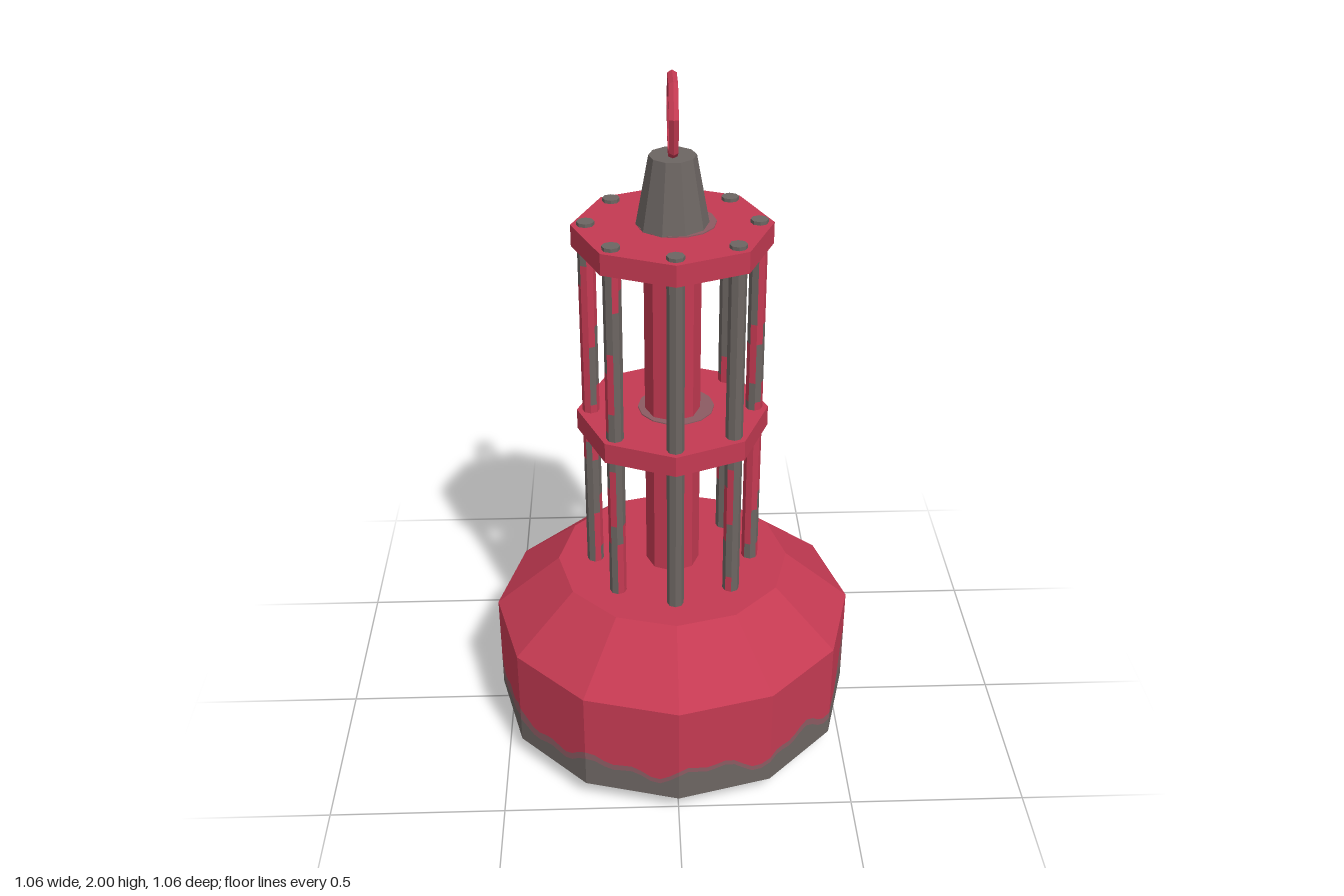
import * as THREE from 'three';

const red = new THREE.MeshStandardMaterial({ color: 0xc43a52 });
red.name = 'redPaint';
const grey = new THREE.MeshStandardMaterial({ color: 0x6c6562 });
grey.name = 'bareMetal';
const faded = new THREE.MeshStandardMaterial({ color: 0x8c5b62 });
faded.name = 'fadedPaint';

// Give every face its own flat normal.
function flat(geometry) {
  const g = geometry.index ? geometry.toNonIndexed() : geometry;
  g.computeVertexNormals();
  return g;
}

function add(parent, name, geometry, material, x = 0, y = 0, z = 0) {
  const mesh = new THREE.Mesh(flat(geometry), material);
  mesh.name = name;
  mesh.position.set(x, y, z);
  parent.add(mesh);
  return mesh;
}

// Upright prism or cone frustum spanning y0 to y1.
function prism(rTop, rBottom, y0, y1, sides, open = false) {
  return new THREE.CylinderGeometry(rTop, rBottom, y1 - y0, sides, 1, open)
    .rotateY(Math.PI / 2).translate(0, (y0 + y1) / 2, 0);
}

// Angles in degrees, measured from +z towards +x.
function drip(a, centre, width, height) {
  const d = (a - centre) / width;
  return height * Math.exp(-d * d * d * d);
}
const wave = (a) => 0.018 * Math.sin(a * Math.PI / 18) + 0.012 * Math.sin(a * Math.PI / 180 * 23 + 1);
const stainTop = (a) => 0.15 + wave(a)
  + drip(a, 91, 9, 0.1) + drip(a, 98, 3, 0.05) + drip(a, 182, 4, 0.08) + drip(a, 240, 4, 0.1);
const metalTop = (a) => {
  const front = 0.5 + 0.5 * Math.cos((a - 10) * Math.PI / 180);
  return 0.08 + 0.055 * front + wave(a) * (0.3 + 0.7 * front);
};

const HULL_R = 0.53;
// Band of the twelve-sided hull wall between two heights that vary with the angle.
function hullBand(low, high) {
  const pos = [], steps = 10;
  const corner = (s) => [HULL_R * Math.sin(s * Math.PI / 6), HULL_R * Math.cos(s * Math.PI / 6)];
  for (let s = 0; s < 12; s++) {
    const [x0, z0] = corner(s), [x1, z1] = corner(s + 1);
    const column = (i) => {
      const t = i / steps, x = x0 + (x1 - x0) * t, z = z0 + (z1 - z0) * t;
      const a = (s + t) * 30 % 360;
      return [[x, low(a), z], [x, high(a), z]];
    };
    for (let i = 0; i < steps; i++) {
      const [a, d] = column(i), [b, c] = column(i + 1);
      pos.push(...a, ...b, ...c, ...a, ...c, ...d);
    }
  }
  const g = new THREE.BufferGeometry();
  g.setAttribute('position', new THREE.Float32BufferAttribute(pos, 3));
  return g;
}

// Repeatable value from 0 to 1.
function hash(n) {
  const v = Math.sin(n * 12.9898) * 43758.5453;
  return v - Math.floor(v);
}

// Rod whose facets are split into worn and painted patches.
function rodGeometry(index, wear) {
  const sides = 8, rows = 18, y0 = 0.52, y1 = 1.61;
  const g = new THREE.CylinderGeometry(0.024, 0.024, y1 - y0, sides, rows)
    .translate(0, (y0 + y1) / 2, 0);
  g.clearGroups();
  for (let s = 0; s < sides; s++) {
    for (let r = 0; r < rows; r++) {
      const patch = hash(index * 37 + Math.floor(s / 3) * 11 + Math.floor((r + s % 2) / 3) * 5 + 1);
      const bare = r === 0 || patch < wear;
      g.addGroup((s * rows + r) * 6, 6, bare ? 1 : 0);
    }
  }
  g.addGroup(sides * rows * 6, sides * 6, 1);
  return g;
}

export function createModel() {
  const model = new THREE.Group();
  model.name = 'buoy';

  // Floating hull
  const hull = new THREE.Group();
  hull.name = 'hull';
  model.add(hull);
  add(hull, 'hullBottom', prism(HULL_R, 0, 0, 0.06, 12, true), grey);
  add(hull, 'hullBareBand', hullBand(() => 0.06, metalTop), grey);
  add(hull, 'hullFadedBand', hullBand(metalTop, stainTop), faded);
  add(hull, 'hullWall', hullBand(stainTop, () => 0.37), red);
  add(hull, 'hullShoulder', prism(0.34, HULL_R, 0.37, 0.53, 12, true), red);
  add(hull, 'hullDeck', new THREE.CircleGeometry(0.34, 12).rotateX(-Math.PI / 2), red, 0, 0.53, 0);

  // Central column and the two octagonal plates
  add(model, 'column', prism(0.078, 0.078, 0.52, 1.56, 8), red);
  for (const [name, y] of [['middlePlate', 0.98], ['topPlate', 1.54]]) {
    add(model, name, prism(0.27, 0.27, y, y + 0.06, 8), red);
    add(model, name + 'Stain', prism(0.108, 0.108, y + 0.06, y + 0.063, 14), faded, 0.01, 0, -0.01);
  }

  // Ring of eight cage rods, most worn at the front
  for (let i = 0; i < 8; i++) {
    const a = i * Math.PI / 4;
    const wear = i === 0 ? 1 : 0.5 + 0.15 * Math.cos(a);
    add(model, 'cageRod', rodGeometry(i, wear), [red, grey], 0.23 * Math.sin(a), 0, 0.23 * Math.cos(a));
  }

  // Cap and lifting ring
  add(model, 'cap', prism(0.063, 0.098, 1.6, 1.79, 10), grey);
  const ring = new THREE.TorusGeometry(0.102, 0.014, 6, 7).rotateZ(-Math.PI / 2).rotateY(Math.PI / 2);
  add(model, 'liftingRing', ring, red, 0, 1.893, 0);

  return model;
}
